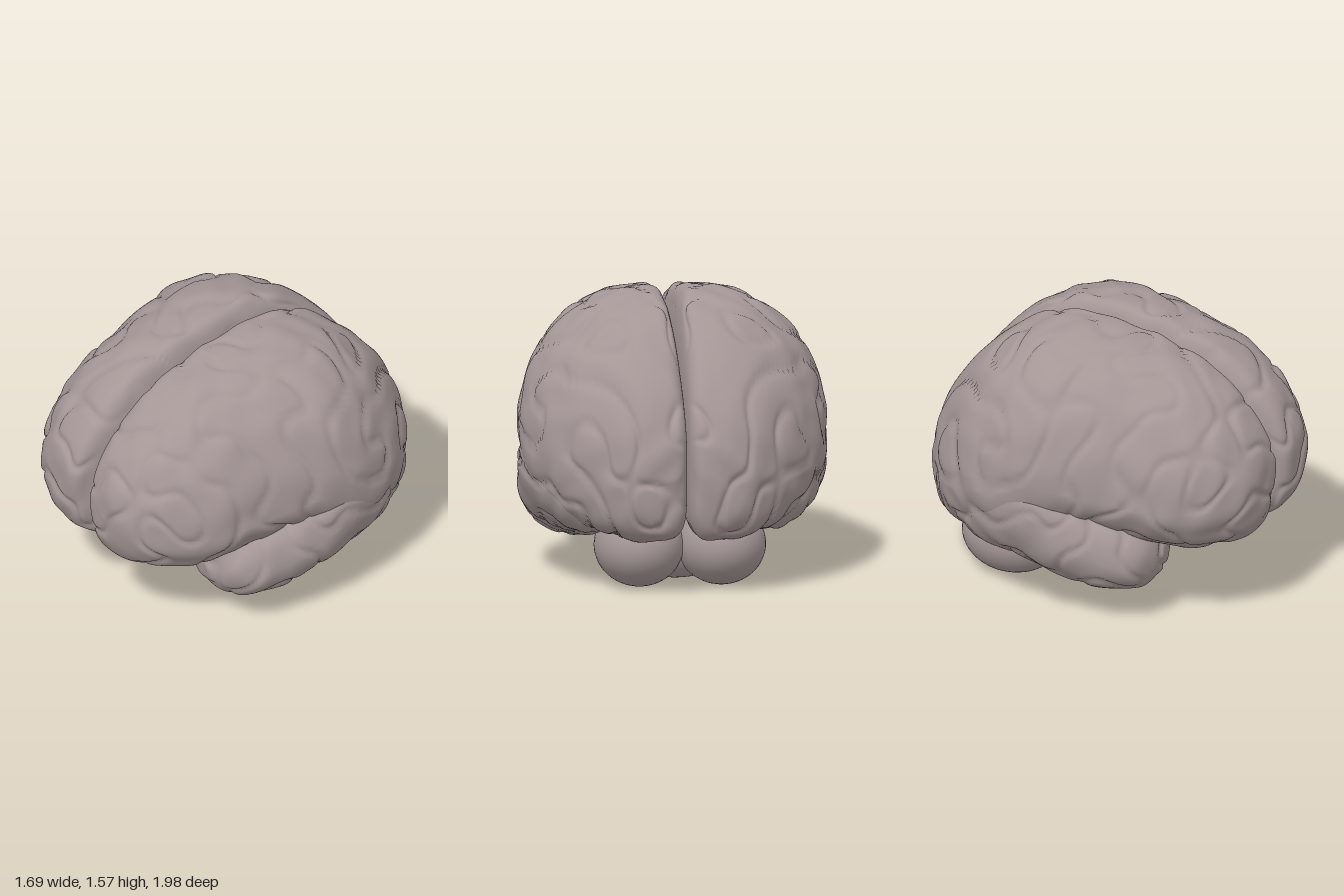
import * as THREE from 'three';
import { mergeVertices } from 'three/addons/utils/BufferGeometryUtils.js';

const tissue = new THREE.MeshStandardMaterial({ color: 0xa59696 });
tissue.name = 'greyPinkTissue';

// Cross-sections from front to back: z, inner x, peak x, outer x, bottom y, widest y, top y,
// then the exponents of the lower and upper outer corners (below 1 is boxier)
const HEMISPHERE = [
  [0.99, 0.2, 0.2, 0.2, 0.78, 0.78, 0.78, 1, 1],
  [0.965, 0.08, 0.2, 0.33, 0.62, 0.78, 0.96, 1, 1],
  [0.89, 0.04, 0.18, 0.47, 0.5, 0.77, 1.11, 1, 1],
  [0.75, 0.014, 0.17, 0.6, 0.43, 0.75, 1.27, 1, 1],
  [0.55, 0.004, 0.16, 0.7, 0.4, 0.74, 1.415, 1, 1],
  [0.3, 0.002, 0.16, 0.74, 0.41, 0.76, 1.5, 1.05, 0.97],
  [0.05, 0.002, 0.16, 0.8, 0.42, 0.8, 1.55, 1.1, 0.95],
  [-0.18, 0.002, 0.16, 0.84, 0.4, 0.82, 1.565, 0.95, 0.95],
  [-0.4, 0.002, 0.16, 0.82, 0.35, 0.79, 1.51, 0.75, 1.03],
  [-0.6, 0.002, 0.17, 0.735, 0.31, 0.75, 1.385, 0.75, 1.08],
  [-0.78, 0.003, 0.18, 0.6, 0.3, 0.7, 1.2, 0.8, 1.08],
  [-0.9, 0.012, 0.2, 0.44, 0.33, 0.66, 1.01, 0.9, 1.05],
  [-0.97, 0.06, 0.2, 0.32, 0.43, 0.62, 0.82, 1, 1],
  [-0.99, 0.2, 0.2, 0.2, 0.61, 0.61, 0.61, 1, 1],
];
const TEMPORAL = [
  [0.47, 0.45, 0.45, 0.45, 0.37, 0.37, 0.37, 1, 1],
  [0.43, 0.28, 0.46, 0.64, 0.24, 0.38, 0.51, 1, 1],
  [0.31, 0.22, 0.47, 0.73, 0.18, 0.39, 0.6, 1, 0.9],
  [0.15, 0.21, 0.48, 0.78, 0.165, 0.44, 0.67, 1, 0.8],
  [-0.02, 0.21, 0.49, 0.82, 0.19, 0.51, 0.76, 1, 0.75],
  [-0.2, 0.23, 0.5, 0.84, 0.25, 0.6, 0.9, 1, 0.75],
  [-0.4, 0.25, 0.5, 0.8, 0.29, 0.64, 0.98, 0.95, 0.85],
  [-0.6, 0.28, 0.48, 0.7, 0.32, 0.6, 0.85, 1, 1],
  [-0.75, 0.36, 0.45, 0.53, 0.45, 0.56, 0.66, 1, 1],
  [-0.8, 0.44, 0.44, 0.44, 0.56, 0.56, 0.56, 1, 1],
];

// Winding folds: soft grooves along the zero lines of a warped wave field, plus ripples
function foldHeight(x, y, z) {
  const a = 13 * x + 1.2 * Math.sin(5 * y + 4 * z);
  const b = 12 * y + 1.2 * Math.sin(6 * z + 3 * x + 1);
  const c = 13 * z + 1.2 * Math.sin(5 * x + 5 * y + 2);
  const n = Math.sin(a) * Math.cos(b) + Math.sin(b) * Math.cos(c) + Math.sin(c) * Math.cos(a);
  const ripple = Math.sin(1.7 * a + 1) * Math.sin(1.6 * b) + Math.sin(1.8 * c) * Math.cos(1.5 * a);
  return 0.004 - 0.015 * Math.exp(-((n / 0.36) ** 2)) + 0.005 * ripple;
}

// Lofted lobe on one side, with folds pushed along its normals
function lobe(rows, side, rings, segments, innerPower) {
  const spline = new THREE.CubicInterpolant(rows.map((r, i) => i), rows.flat(), 9, new Array(9));
  const power = (v, e) => Math.sign(v) * Math.abs(v) ** e;
  const positions = [];
  const index = [];
  for (let i = 0; i <= rings; i++) {
    const section = spline.evaluate((i / rings) * (rows.length - 1));
    const [z, xIn, xPeak, xOut, yBot, yMid, yTop, lower, upper] = section;
    for (let j = 0; j < segments; j++) {
      const t = (j / segments) * Math.PI * 2;
      const c = Math.cos(t);
      const s = Math.sin(t);
      const e = c < 0 ? innerPower : s < 0 ? lower : upper;
      const x = xPeak + power(c, e) * (c < 0 ? xPeak - xIn : xOut - xPeak);
      const y = yMid + power(s, e) * (s < 0 ? yMid - yBot : yTop - yMid);
      positions.push(side * x, y, z);
      if (i === rings) continue;
      const a = i * segments + j;
      const b = i * segments + ((j + 1) % segments);
      const d = a + segments;
      const f = b + segments;
      if (side > 0) index.push(a, d, b, b, d, f);
      else index.push(a, b, d, b, f, d);
    }
  }
  let geometry = new THREE.BufferGeometry();
  geometry.setAttribute('position', new THREE.Float32BufferAttribute(positions, 3));
  geometry.setIndex(index);
  geometry = mergeVertices(geometry, 1e-5);
  geometry.computeVertexNormals();
  const p = geometry.attributes.position;
  const n = geometry.attributes.normal;
  for (let i = 0; i < p.count; i++) {
    const x = p.getX(i);
    const y = p.getY(i);
    const z = p.getZ(i);
    // Folds fade out towards the flat wall between the halves
    const h = foldHeight(Math.abs(x), y, z + side * 0.03) * THREE.MathUtils.smoothstep(Math.abs(x), 0.005, 0.08);
    const moved = Math.max(0.002, side * (x + n.getX(i) * h));
    p.setXYZ(i, side * moved, y + n.getY(i) * h, z + n.getZ(i) * h);
  }
  geometry.computeVertexNormals();
  return geometry;
}

function addMesh(group, name, geometry) {
  const mesh = new THREE.Mesh(geometry, tissue);
  mesh.name = name;
  group.add(mesh);
  return mesh;
}

function addEllipsoid(group, name, center, radii, tilt = 0) {
  const mesh = addMesh(group, name, new THREE.SphereGeometry(1, 40, 28));
  mesh.position.set(...center);
  mesh.scale.set(...radii);
  mesh.rotation.x = tilt;
  return mesh;
}

export function createModel() {
  const model = new THREE.Group();
  model.name = 'brain';

  for (const [label, side] of [['left', 1], ['right', -1]]) {
    addMesh(model, label + 'Hemisphere', lobe(HEMISPHERE, side, 156, 140, 0.46));
    addMesh(model, label + 'TemporalLobe', lobe(TEMPORAL, side, 84, 90, 0.9));
    addEllipsoid(model, label + 'Cerebellum', [side * 0.225, 0.225, -0.53], [0.245, 0.225, 0.29]);
  }

  // Front middle of the cerebellum, the core joining the halves, and the stem beneath
  addEllipsoid(model, 'cerebellumMiddle', [0, 0.18, -0.39], [0.32, 0.165, 0.2]);
  addEllipsoid(model, 'innerCore', [0, 0.82, -0.05], [0.1, 0.3, 0.6]);
  addEllipsoid(model, 'brainStem', [0, 0.31, -0.18], [0.28, 0.12, 0.33], -0.6);
  const stalk = addMesh(model, 'stalk', new THREE.ConeGeometry(0.08, 0.16, 24));
  stalk.position.set(0, 0.41, 0.18);
  stalk.rotation.x = Math.PI;

  return model;
}
